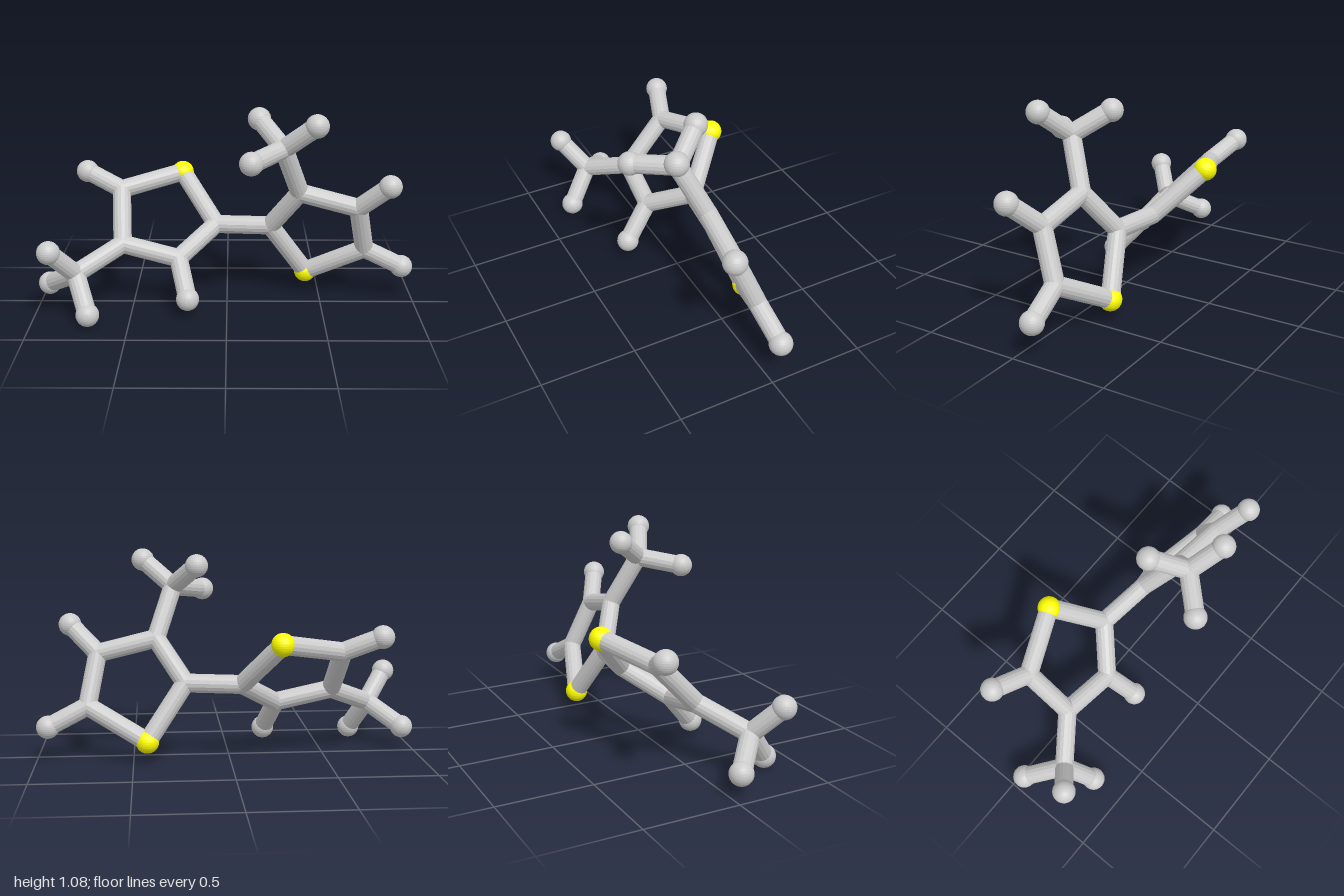
import * as THREE from 'three';

const BOND_R = 0.049, BALL_R = 0.06;

// Atom positions: c = carbon joint, h = hydrogen ball, s = sulfur ball
const ATOMS = {
  // left ring
  sA: [-0.245, 0.635, -0.333],
  cA2: [-0.06, 0.4, -0.125],
  cA3: [-0.255, 0.27, 0.055],
  cA4: [-0.55, 0.34, 0.03],
  cA5: [-0.57, 0.575, -0.195],
  hA3: [-0.203, 0.098, 0.203],
  hA5: [-0.76, 0.658, -0.26],
  // left methyl group
  cAm: [-0.778, 0.235, 0.195],
  hAm1: [-0.893, 0.387, 0.303],
  hAm2: [-0.94, 0.125, 0.043],
  hAm3: [-0.706, 0.063, 0.329],
  // right ring
  sB: [0.428, 0.117, -0.17],
  cB2: [0.23, 0.405, -0.088],
  cB3: [0.378, 0.622, 0.028],
  cB4: [0.683, 0.545, 0.046],
  cB5: [0.735, 0.285, -0.058],
  hB4: [0.83, 0.686, 0.136],
  hB5: [0.94, 0.18, -0.073],
  // right methyl group
  cBm: [0.285, 0.885, 0.147],
  hBm1: [0.166, 1.003, -0.016],
  hBm2: [0.443, 1.02, 0.232],
  hBm3: [0.12, 0.854, 0.322],
};

// Each chain is a run of connected atoms
const CHAINS = [
  'sA cA2 cA3 cA4 cA5 sA', 'cA3 hA3', 'cA5 hA5',
  'cA4 cAm hAm1', 'cAm hAm2', 'cAm hAm3',
  'cA2 cB2',
  'sB cB2 cB3 cB4 cB5 sB', 'cB4 hB4', 'cB5 hB5',
  'cB3 cBm hBm1', 'cBm hBm2', 'cBm hBm3',
];

const KINDS = { c: 'carbonJoint', h: 'hydrogenBall', s: 'sulfurBall' };

export function createModel() {
  const model = new THREE.Group();
  model.name = 'ballAndStickMolecule';
  const grey = new THREE.MeshStandardMaterial({ color: 0xcccccc, flatShading: true });
  const yellow = new THREE.MeshStandardMaterial({ color: 0xffff00, flatShading: true });
  const ball = new THREE.SphereGeometry(BALL_R, 32, 16);
  const joint = new THREE.SphereGeometry(BOND_R, 32, 16);
  const up = new THREE.Vector3(0, 1, 0);

  // Balls and rounded joints
  for (const [key, p] of Object.entries(ATOMS)) {
    const kind = key[0];
    const mesh = new THREE.Mesh(kind === 'c' ? joint : ball, kind === 's' ? yellow : grey);
    mesh.name = KINDS[kind];
    mesh.position.set(...p);
    model.add(mesh);
  }

  // Sticks between neighbouring atoms
  for (const chain of CHAINS) {
    const keys = chain.split(' ');
    for (let i = 1; i < keys.length; i++) {
      const a = new THREE.Vector3(...ATOMS[keys[i - 1]]);
      const b = new THREE.Vector3(...ATOMS[keys[i]]);
      const stick = new THREE.Mesh(
        new THREE.CylinderGeometry(BOND_R, BOND_R, a.distanceTo(b), 16), grey);
      stick.name = 'bond';
      stick.position.lerpVectors(a, b, 0.5);
      stick.quaternion.setFromUnitVectors(up, b.clone().sub(a).normalize());
      model.add(stick);
    }
  }
  return model;
}
